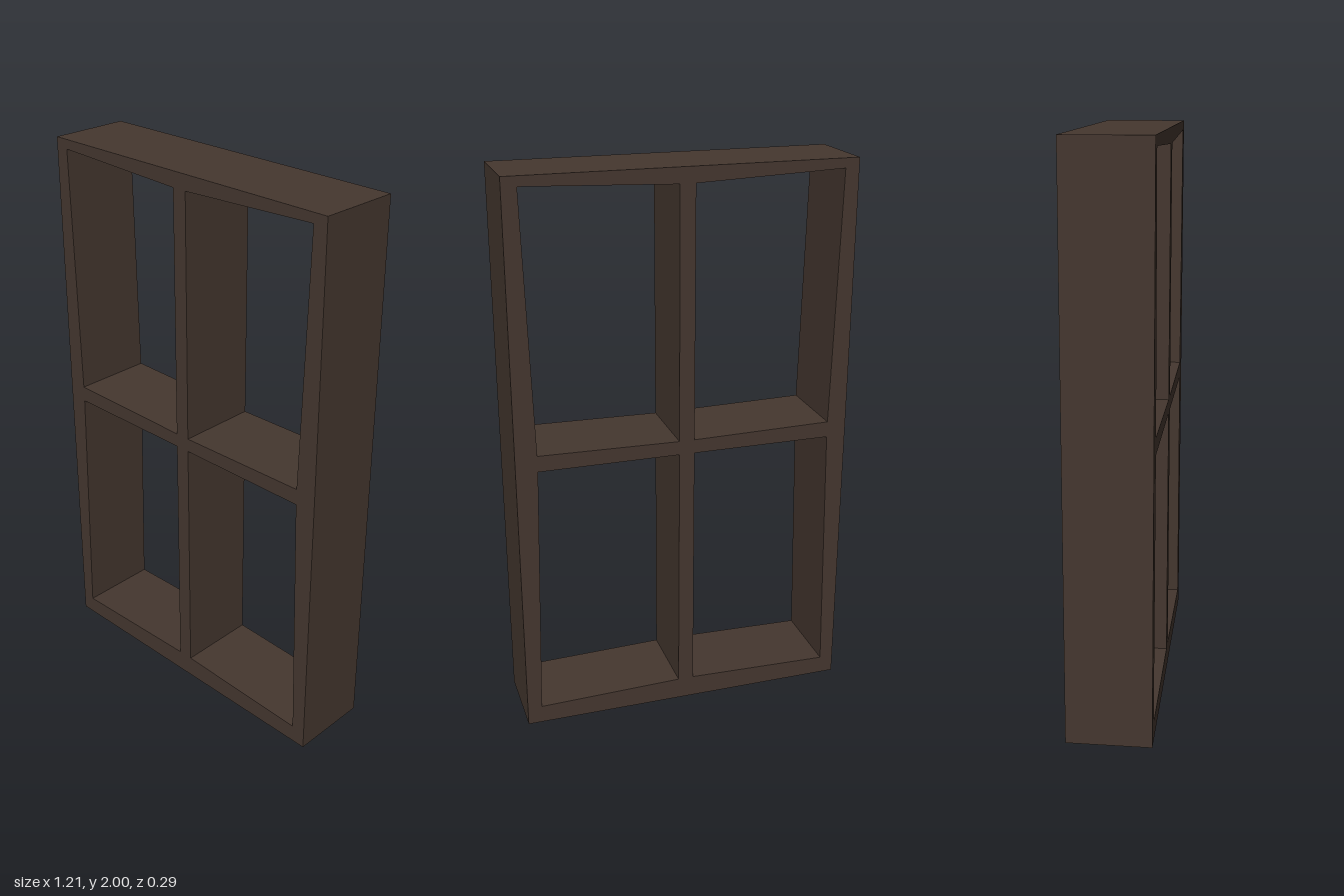
import * as THREE from 'three';

const HALF_WIDTH = 0.605, HEIGHT = 2, DEPTH = 0.294;

// Corner points of the four slightly crooked panes
const panes = [
  [[-0.535, 1.06], [-0.03, 1.052], [-0.03, 1.945], [-0.555, 1.966]],
  [[0.025, 1.052], [0.528, 1.06], [0.553, 1.966], [0.025, 1.945]],
  [[-0.555, 0.066], [-0.03, 0.08], [-0.03, 1.002], [-0.535, 1.002]],
  [[0.027, 0.08], [0.553, 0.066], [0.528, 1.002], [0.025, 1.002]],
];

const toPoints = (list) => list.map(([x, y]) => new THREE.Vector2(x, y));

export function createModel() {
  const group = new THREE.Group();
  group.name = 'window';
  const darkWood = new THREE.MeshStandardMaterial({ color: 0x45372f });
  darkWood.name = 'dark wood';

  // Outer frame with the pane openings cut through; the bars remain between them
  const outline = new THREE.Shape(toPoints([
    [-HALF_WIDTH, 0], [HALF_WIDTH, 0], [HALF_WIDTH, HEIGHT], [-HALF_WIDTH, HEIGHT],
  ]));
  for (const pane of panes) outline.holes.push(new THREE.Path(toPoints(pane)));

  const geometry = new THREE.ExtrudeGeometry(outline, { depth: DEPTH, bevelEnabled: false });
  geometry.translate(0, 0, -DEPTH / 2);

  const frame = new THREE.Mesh(geometry, darkWood);
  frame.name = 'windowFrame';
  group.add(frame);
  return group;
}
